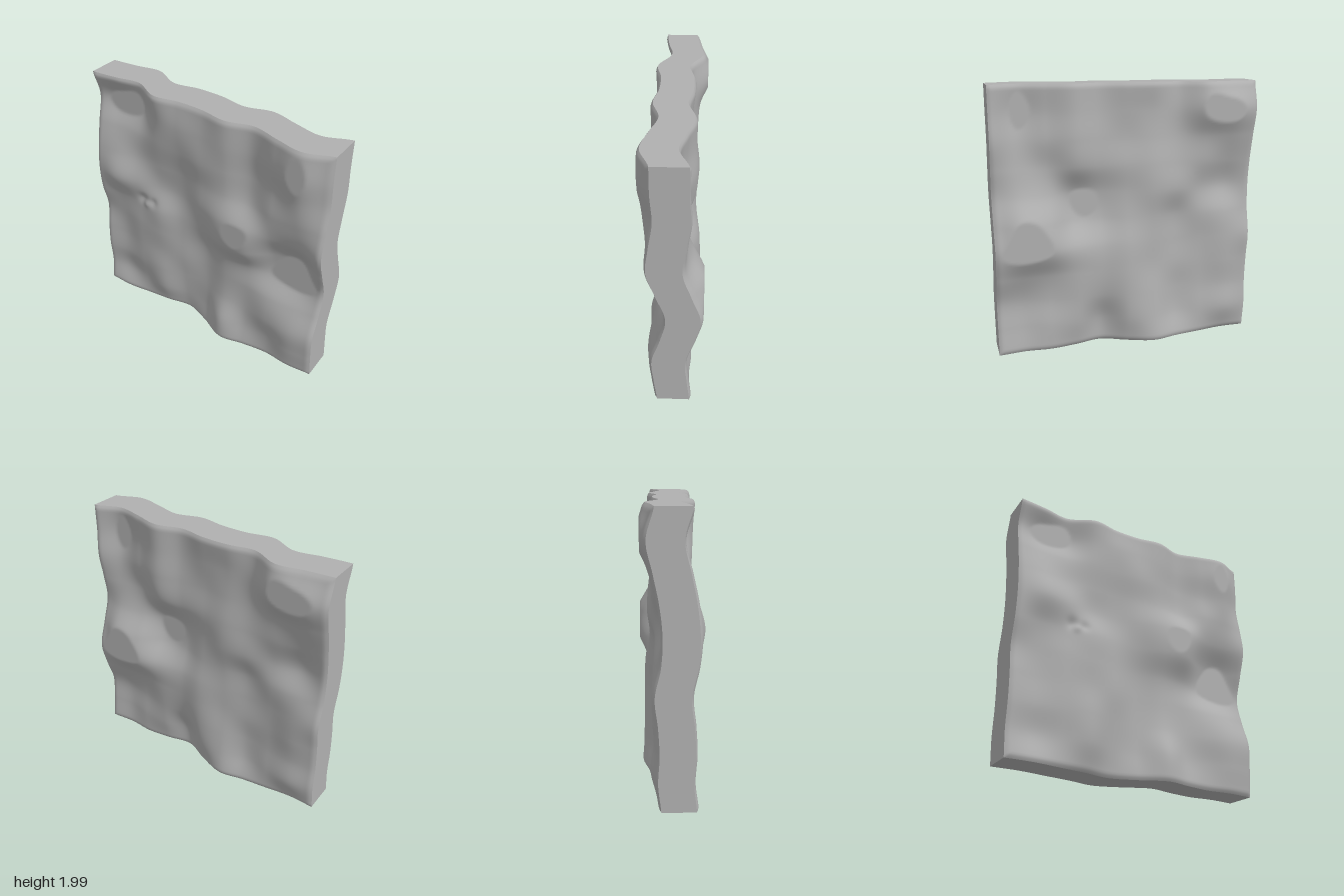
import * as THREE from 'three';

const SIZE = 1.99, HALF = SIZE / 2, THICK = 0.265;

// Relief heights in hundredths, rows from top to bottom, columns from -x to +x
const RELIEF = [
  [1, -1, -4, 5, 2, 2, 5, 0, 5, 9, 2],
  [-4, -9, -8, 3, 4, 4, 5, 0, 6, 11, 2],
  [0, -2, -1, 3, 3, 5, 4, -1, 4, 8, 1],
  [4, 4, 1, 1, 0, 3, 4, 1, 6, 6, 4],
  [6, 9, 5, 0, -1, 4, 9, 10, 4, 2, 6],
  [5, 3, 3, 5, 1, 2, 8, 8, -4, -8, 0],
  [1, 1, 4, 5, 1, -2, 1, -1, -7, -9, -6],
  [3, 1, 4, 4, 1, -3, 0, 0, 1, 0, -2],
  [4, 2, 4, 5, -1, -3, 2, 1, 4, 6, 4],
  [3, 0, 2, 4, -3, -2, 8, 2, 2, 5, 3],
  [5, 5, 2, -1, -5, 1, 9, 5, 2, 3, 1],
];

// Smooth cubic through evenly spaced values, t from 0 to 1
function cubic(values, t) {
  const last = values.length - 1;
  const s = THREE.MathUtils.clamp(t, 0, 1) * last;
  const i = Math.min(Math.floor(s), last - 1), f = s - i;
  const at = (k) => values[THREE.MathUtils.clamp(k, 0, last)];
  const [a, b, c, d] = [at(i - 1), at(i), at(i + 1), at(i + 2)];
  return b + 0.5 * f * (c - a + f * (2 * a - 5 * b + 4 * c - d + f * (3 * (b - c) + d - a)));
}

// Wave shared by front and back, cut off flat at its highest and lowest levels
function wave(x, y) {
  const u = (x + HALF) / SIZE, v = (HALF - y) / SIZE;
  const h = cubic(RELIEF.map((row) => cubic(row, u)), v) / 100;
  return THREE.MathUtils.clamp(h, -0.065, 0.095);
}

// Small chipped dent on the front face
function dent(x, y) {
  const spot = (cx, cy, r) => Math.exp(-((x - cx) ** 2 + (y - cy) ** 2) / (r * r));
  return 0.02 * spot(-0.56, 0.05, 0.045) + 0.015 * spot(-0.46, 0.05, 0.035) - 0.015 * spot(-0.53, 0.02, 0.03);
}

export function createModel() {
  const model = new THREE.Group();
  const stone = new THREE.MeshStandardMaterial({ color: 0xb0b0b0 });
  stone.name = 'stoneGrey';

  // Slab: a finely divided box whose whole thickness follows the wave
  const geometry = new THREE.BoxGeometry(SIZE, SIZE, THICK, 132, 132, 4);
  const pos = geometry.attributes.position;
  for (let i = 0; i < pos.count; i++) {
    const x = pos.getX(i), y = pos.getY(i), z = pos.getZ(i);
    const side = z / (THICK / 2);
    // Soft rounding along the rim
    const edge = HALF - Math.max(Math.abs(x), Math.abs(y));
    const rim = 0.015 * Math.max(0, 1 - edge / 0.035) ** 2;
    const chip = side > 0 ? dent(x, y) * side : 0;
    pos.setZ(i, z + wave(x, y) - rim * side - chip);
  }
  geometry.computeVertexNormals();

  const slab = new THREE.Mesh(geometry, stone);
  slab.name = 'wavySlab';
  slab.rotation.y = THREE.MathUtils.degToRad(19.3);
  slab.position.y = HALF;
  model.add(slab);
  return model;
}
